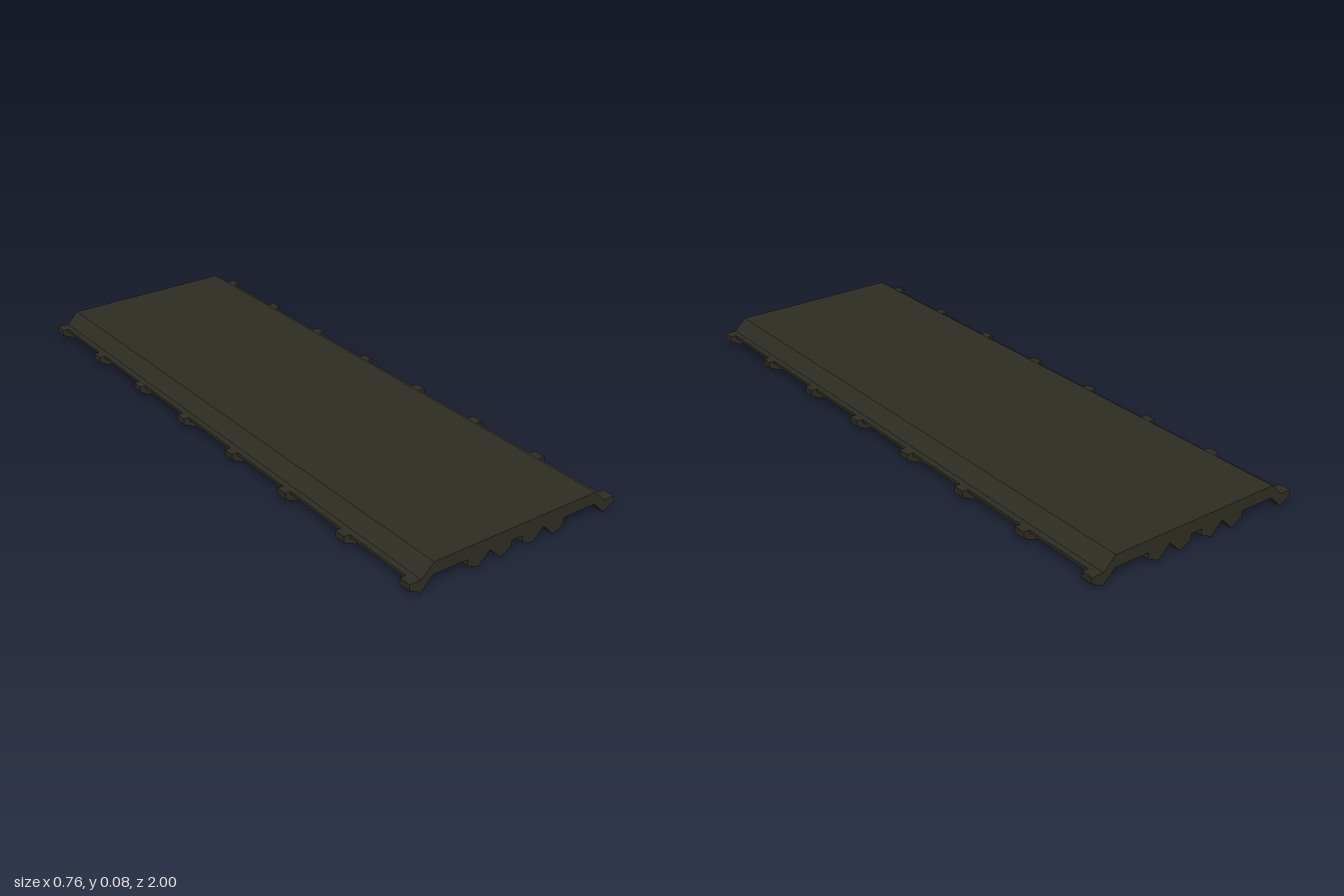
import * as THREE from 'three';

// Extrude a mirrored profile (right half listed from the top edge to the centre underside) along z
function mirroredExtrusion(half, depth) {
  const mirrored = half.map(([x, y]) => [-x, y]).reverse();
  const shape = new THREE.Shape([...half, ...mirrored].map(([x, y]) => new THREE.Vector2(x, y)));
  const geometry = new THREE.ExtrudeGeometry(shape, { depth, bevelEnabled: false });
  geometry.translate(0, 0, -depth / 2);
  return geometry;
}

export function createModel() {
  const model = new THREE.Group();
  model.name = 'trackPlate';

  const darkOlive = new THREE.MeshStandardMaterial({ color: 0x2e2d23 });
  darkOlive.name = 'darkOlive';

  // Long deck with sloped sides, edge lips and four shallow guide rails underneath
  const deckProfile = [
    [0.30, 0.08], [0.34, 0.04], [0.36, 0.04], [0.36, 0.03], [0.34, 0.02], [0.30, 0.06],
    [0.16, 0.06], [0.16, 0.03], [0.14, 0.02], [0.10, 0.06],
    [0.06, 0.02], [0.04, 0.03], [0.04, 0.06],
  ];
  const deck = new THREE.Mesh(mirroredExtrusion(deckProfile, 2), darkOlive);
  deck.name = 'deck';
  model.add(deck);

  // Deeper cross ribs; their tops sit just inside the deck
  const ribProfile = [
    [0.30, 0.075], [0.335, 0.04], [0.38, 0.04], [0.38, 0.02], [0.34, 0], [0.30, 0.04],
    [0.18, 0.04], [0.18, 0.02], [0.14, 0], [0.10, 0.04],
    [0.06, 0], [0.02, 0.02], [0.02, 0.04],
  ];
  const ribGeometry = mirroredExtrusion(ribProfile, 0.04);
  const ribs = new THREE.Group();
  ribs.name = 'crossRibs';
  for (let i = 0; i < 8; i++) {
    const rib = new THREE.Mesh(ribGeometry, darkOlive);
    rib.name = 'crossRib';
    rib.position.z = -0.98 + i * 0.28;
    ribs.add(rib);
  }
  model.add(ribs);

  return model;
}
